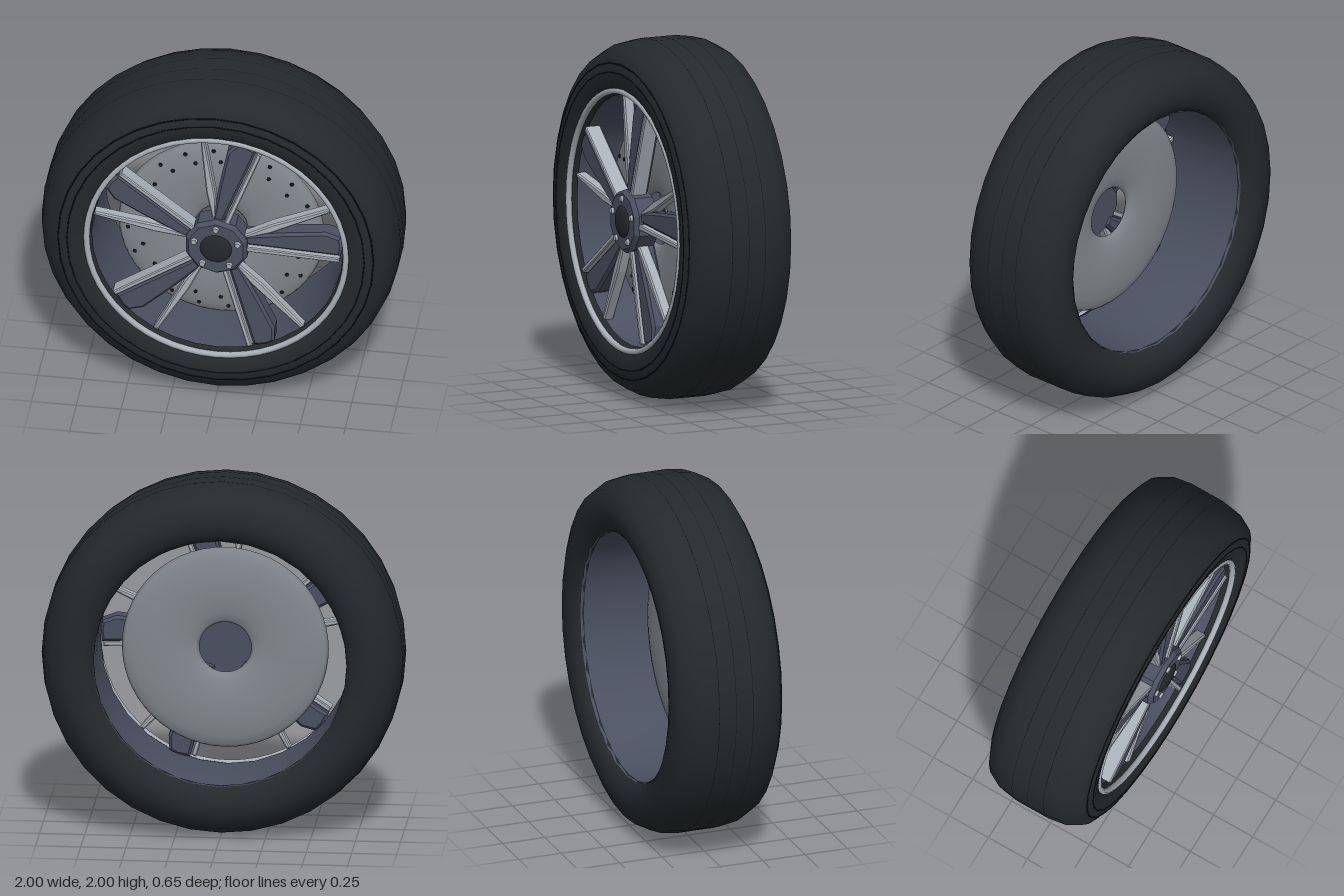
import * as THREE from 'three';

const mat = (color, extra = {}) => new THREE.MeshStandardMaterial({ color, ...extra });
const rubber = mat(0x24292c);
const groove = mat(0x14171a);
const darkMetal = mat(0x4a5060, { side: THREE.DoubleSide });
const darkFlat = mat(0x4a5060, { flatShading: true });
const lightMetal = mat(0xa8b0b8);
const lightFlat = mat(0xa8b0b8, { flatShading: true });
const discMetal = mat(0x82888e);

function add(parent, name, geometry, material, x = 0, y = 0, z = 0) {
  const mesh = new THREE.Mesh(geometry, material);
  mesh.name = name;
  mesh.position.set(x, y, z);
  parent.add(mesh);
  return mesh;
}

// Surface of revolution around the z axle; profile is [radius, z]
function spin(profile, segments) {
  const pts = profile.map(([r, z]) => new THREE.Vector2(r, z));
  return new THREE.LatheGeometry(pts, segments).rotateX(Math.PI / 2);
}

function disk(radius, depth, sides, topRadius = radius) {
  return new THREE.CylinderGeometry(topRadius, radius, depth, sides).rotateX(Math.PI / 2);
}

// Flat outline extruded along z between two depths
function plate(outline, back, front, bevel) {
  const shape = new THREE.Shape(outline.map(([x, y]) => new THREE.Vector2(x, y)));
  const geo = new THREE.ExtrudeGeometry(shape, {
    depth: front - back - 2 * bevel, bevelEnabled: bevel > 0,
    bevelSize: bevel, bevelThickness: bevel, bevelOffset: -bevel, bevelSegments: 1,
  });
  return geo.translate(0, 0, back + bevel);
}

export function createModel() {
  const model = new THREE.Group();
  model.name = 'wheel';
  const wheel = new THREE.Group();
  wheel.name = 'wheelAssembly';
  wheel.position.y = 1;
  model.add(wheel);

  // Tyre: mirrored half profile
  const half = [[0.7, 0.25], [0.715, 0.28], [0.75, 0.307], [0.8, 0.32], [0.86, 0.32],
    [0.94, 0.283], [0.985, 0.2], [1, 0.1]];
  const profile = [...half.map(([r, z]) => [r, -z]), ...[...half].reverse()];
  add(wheel, 'tyre', spin(profile, 36), rubber);

  // Tread lines and sidewall lines
  for (const z of [-0.1, 0, 0.1])
    add(wheel, 'treadLine', new THREE.TorusGeometry(0.996, 0.005, 5, 36), groove, 0, 0, z);
  for (const [r, z] of [[0.88, 0.311], [0.83, 0.319]])
    add(wheel, 'sidewallLine', new THREE.TorusGeometry(r, 0.004, 5, 36), groove, 0, 0, z);

  // Rim barrel and bright front lip
  add(wheel, 'rimBarrel', spin([[0.705, -0.27], [0.7, -0.1], [0.7, 0.2], [0.725, 0.29]], 28), darkMetal);
  add(wheel, 'rimLip', new THREE.TorusGeometry(0.724, 0.018, 8, 56), lightMetal, 0, 0, 0.292);

  // Brake disc: flattened ring with twenty pairs of drilled holes
  const discZ = 0.085, mid = 0.358, tube = 0.215, thick = 0.04;
  const disc = new THREE.TorusGeometry(mid, tube, 16, 56).scale(1, 1, thick / tube);
  add(wheel, 'brakeDisc', disc, discMetal, 0, 0, discZ);
  for (let i = 0; i < 20; i++) {
    for (const [r, offset] of [[0.455, 0], [0.52, 4.5]]) {
      const a = THREE.MathUtils.degToRad(i * 18 + offset);
      const z = discZ + thick * Math.sqrt(1 - ((r - mid) / tube) ** 2);
      add(wheel, 'discHole', disk(0.012, 0.006, 8), groove, r * Math.cos(a), r * Math.sin(a), z);
    }
  }

  // Hub with bevelled front edge and centre cap
  add(wheel, 'hub', disk(0.18, 0.11, 10), darkFlat, 0, 0, 0.225);
  add(wheel, 'hubFace', disk(0.18, 0.025, 10, 0.16), darkFlat, 0, 0, 0.2925);
  const cap = new THREE.SphereGeometry(0.09, 20, 8, 0, Math.PI * 2, 0, Math.PI / 2)
    .rotateX(Math.PI / 2).scale(1, 1, 0.25);
  add(wheel, 'centreCap', cap, rubber, 0, 0, 0.303);

  // Five spoke sets: wide blade, bright edge bar, slim spoke, wheel bolt
  const blade = plate([[0.14, 0.015], [0.69, -0.01], [0.7, 0.06], [0.69, 0.11], [0.61, 0.14],
    [0.4, 0.115], [0.14, 0.075]], 0.16, 0.27, 0.015);
  const bar = plate([[0.14, -0.02], [0.685, -0.043], [0.685, -0.015], [0.14, 0.01]], 0.19, 0.282, 0.006);
  const slim = plate([[0.14, 0.05], [0.3, 0.105], [0.64, 0.28], [0.63, 0.303], [0.31, 0.165],
    [0.14, 0.07]], 0.2, 0.265, 0.008);
  for (let i = 0; i < 5; i++) {
    const set = new THREE.Group();
    set.name = 'spokeSet';
    set.rotation.z = i * Math.PI * 0.4;
    add(set, 'spokeBlade', blade, darkFlat);
    add(set, 'spokeEdgeBar', bar, lightFlat);
    add(set, 'slimSpoke', slim, lightFlat);
    const a = Math.PI / 10;
    add(set, 'wheelBolt', disk(0.02, 0.016, 10, 0.015), lightMetal,
      0.128 * Math.cos(a), 0.128 * Math.sin(a), 0.311);
    wheel.add(set);
  }
  return model;
}
